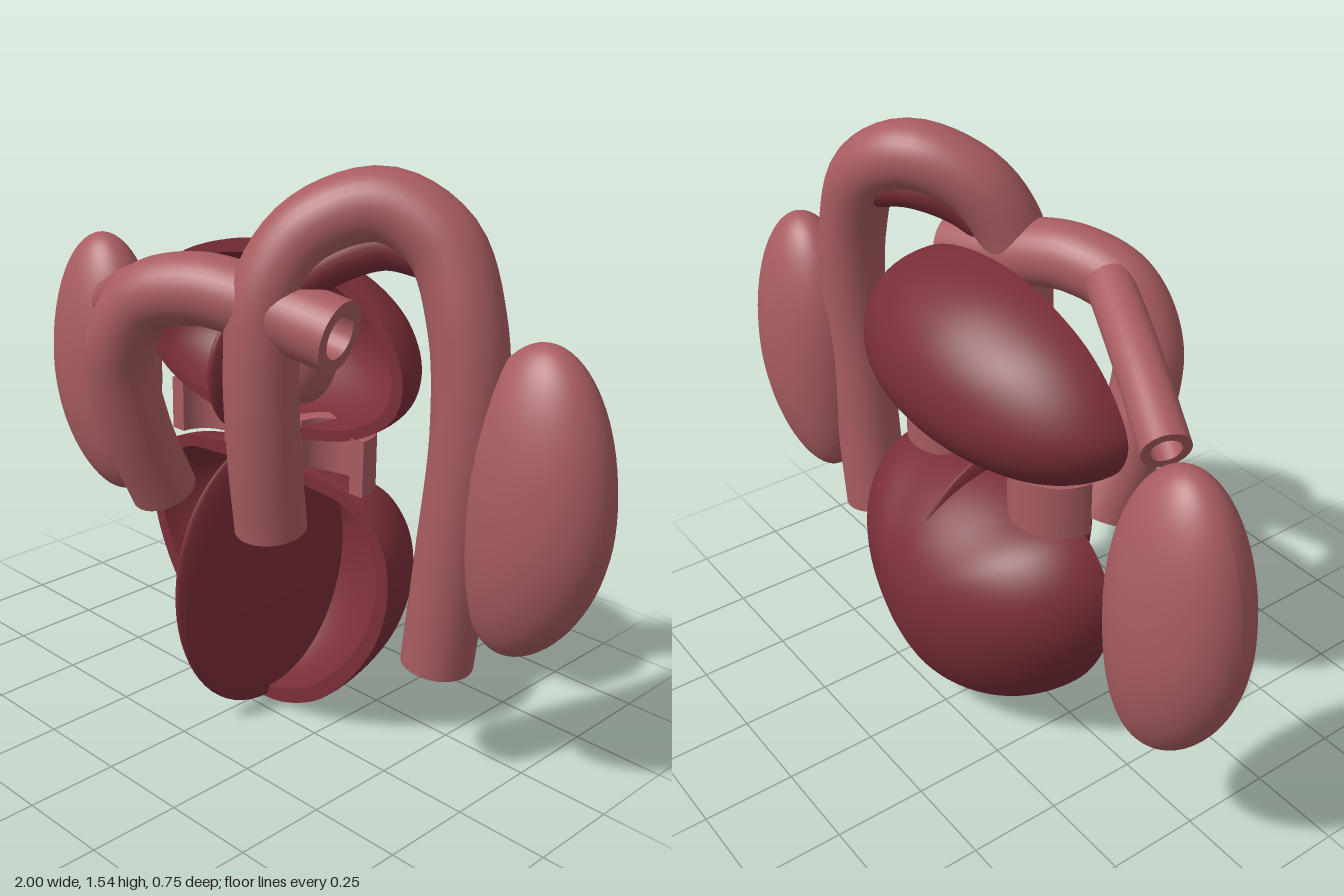
import * as THREE from 'three';

const V = (p) => new THREE.Vector3(...p);
const CUT = -0.04; // z of the plane where the chambers are cut open

export function createModel() {
  const model = new THREE.Group();
  model.name = 'openHeart';

  const muscle = new THREE.MeshStandardMaterial({ color: 0x7a2e38, side: THREE.DoubleSide });
  muscle.name = 'dark muscle red';
  const vessel = new THREE.MeshStandardMaterial({ color: 0xa85c60, side: THREE.DoubleSide });
  vessel.name = 'soft vessel red';

  function add(name, geometry, material, parent = model) {
    const mesh = new THREE.Mesh(geometry, material);
    mesh.name = name;
    parent.add(mesh);
    return mesh;
  }

  function ellipsoid(name, center, radii, material) {
    const g = new THREE.SphereGeometry(1, 48, 32);
    g.scale(...radii);
    const mesh = add(name, g, material);
    mesh.position.set(...center);
    return mesh;
  }

  // Hollow pipe along a path, with ring-shaped ends
  function pipe(name, points, r, bore = 0.62) {
    const group = new THREE.Group();
    group.name = name;
    model.add(group);
    const curve = new THREE.CatmullRomCurve3(points.map(V));
    add(name + 'Wall', new THREE.TubeGeometry(curve, 72, r, 32), vessel, group);
    add(name + 'Bore', new THREE.TubeGeometry(curve, 72, r * bore, 24), vessel, group);
    for (const t of [0, 1]) {
      const out = curve.getTangent(t).multiplyScalar(t ? 1 : -1);
      const ring = add(name + 'End', new THREE.RingGeometry(r * bore, r, 32), vessel, group);
      ring.position.copy(curve.getPoint(t));
      ring.quaternion.setFromUnitVectors(new THREE.Vector3(0, 0, 1), out);
    }
  }

  // Cup with a thick wall: an outline in the cut plane swept back to a rounded bottom
  function cup(name, outline, center, depth, wall) {
    const curve = new THREE.CatmullRomCurve3(outline.map(([x, y]) => V([x, y, 0])), true);
    const n = 96, m = 24;
    const rim = curve.getPoints(n).slice(0, n);
    const pos = [], index = [];
    const addRow = (inset, phi) => {
      for (const p of rim) {
        const dx = p.x - center[0], dy = p.y - center[1];
        const k = (1 - inset / Math.hypot(dx, dy)) * Math.cos(phi);
        pos.push(center[0] + dx * k, center[1] + dy * k, CUT - (depth - inset) * Math.sin(phi));
      }
    };
    const band = (rows) => {
      const start = pos.length / 3;
      rows.forEach(([inset, phi]) => addRow(inset, phi));
      for (let i = 0; i < rows.length - 1; i++) {
        for (let j = 0; j < n; j++) {
          const a = start + i * n + j, b = start + i * n + (j + 1) % n;
          index.push(a, b, a + n, b, b + n, a + n);
        }
      }
    };
    const angles = Array.from({ length: m + 1 }, (_, i) => (i / m) * Math.PI * 0.4995);
    band(angles.map((a) => [0, a]).reverse());  // outside
    band([[0, 0], [wall, 0]]);                  // cut rim
    band(angles.map((a) => [wall, a]));         // inside
    const g = new THREE.BufferGeometry();
    g.setAttribute('position', new THREE.Float32BufferAttribute(pos, 3));
    g.setIndex(index);
    g.computeVertexNormals();
    add(name, g, muscle);
  }

  // Lower and upper chambers (outlines run anticlockwise)
  cup('lowerChambers', [
    [0.02, 0], [0.2, 0.06], [0.33, 0.18], [0.425, 0.33], [0.457, 0.48], [0.43, 0.6], [0.34, 0.69],
    [0.18, 0.72], [0, 0.74], [-0.18, 0.72], [-0.34, 0.69], [-0.43, 0.6], [-0.455, 0.48],
    [-0.41, 0.33], [-0.3, 0.17], [-0.15, 0.05],
  ], [0, 0.42], 0.34, 0.04);
  cup('upperChambers', [
    [0, 0.8], [0.2, 0.82], [0.36, 0.87], [0.46, 0.95], [0.48, 1.04], [0.43, 1.15], [0.31, 1.24],
    [0.15, 1.29], [-0.05, 1.3], [-0.2, 1.27], [-0.34, 1.21], [-0.44, 1.12], [-0.485, 1.03],
    [-0.46, 0.95], [-0.36, 0.87], [-0.2, 0.82],
  ], [0, 1.04], 0.29, 0.035);

  // Thin walls dividing the chambers
  ellipsoid('lowerSeptum', [0.012, 0.395, CUT], [0.034, 0.387, 0.32], muscle).rotation.z = 0.02;
  ellipsoid('upperSeptum', [0, 0.98, CUT], [0.032, 0.19, 0.19], muscle);

  // Half-ring valves between the chambers
  const half = new THREE.Shape();
  half.absarc(0, 0, 0.13, 0, Math.PI, false);
  half.absarc(0, 0, 0.085, Math.PI, 0, true);
  for (const side of [-1, 1]) {
    const g = new THREE.ExtrudeGeometry(half, { depth: 0.15, bevelEnabled: false, curveSegments: 28 });
    g.rotateX(-Math.PI / 2);
    add('valve', g, vessel).position.set(side * 0.232, 0.71, CUT);
  }

  // Great vessels
  const arch = [[0.22, 1.25, 0.15], [0.28, 1.39, 0.08], [0.41, 1.453, -0.03], [0.54, 1.38, -0.09]];
  pipe('aorta', [
    [0.205, 0.63, 0.125], [0.21, 0.85, 0.155], [0.21, 1.07, 0.165], ...arch,
    [0.615, 1.2, -0.1], [0.637, 0.95, -0.1], [0.61, 0.62, -0.097], [0.578, 0.315, -0.097],
  ], 0.092);
  pipe('pulmonaryTrunk', [
    [-0.205, 0.615, 0.13], [-0.205, 0.82, 0.22], [-0.185, 1.05, 0.28], [-0.1, 1.19, 0.265],
    [0.04, 1.233, 0.215], [0.2, 1.21, 0.155], [0.31, 1.185, 0.12], [0.405, 1.165, 0.1],
  ], 0.09);
  pipe('pulmonaryBranch', [[-0.1, 1.22, 0.215], [-0.34, 1.145, 0.105], [-0.57, 1.048, 0]], 0.062);
  ellipsoid('vesselRoot', [0.19, 1.08, 0], [0.09, 0.15, 0.09], vessel);

  // Dark lining under the arch
  const lining = new THREE.CatmullRomCurve3(
    [[0.26, 1.25, 0.13], [0.33, 1.32, 0.06], [0.42, 1.36, -0.03], [0.53, 1.34, -0.09]].map(V));
  add('archLining', new THREE.TubeGeometry(lining, 32, 0.055, 24), muscle);

  // Side lobes: egg shapes whose lower tips lean inward
  for (const side of [-1, 1]) {
    const g = new THREE.SphereGeometry(1, 48, 40);
    const p = g.attributes.position;
    for (let i = 0; i < p.count; i++) {
      const t = p.getY(i);
      const lean = t < 0 ? 0.06 * t * t : 0;
      p.setXYZ(i, side * (0.803 - lean) + p.getX(i) * 0.197, 0.785 + t * 0.4, p.getZ(i) * 0.143 - 0.153);
    }
    g.computeVertexNormals();
    add(side > 0 ? 'leftLobe' : 'rightLobe', g, vessel);
  }

  return model;
}
